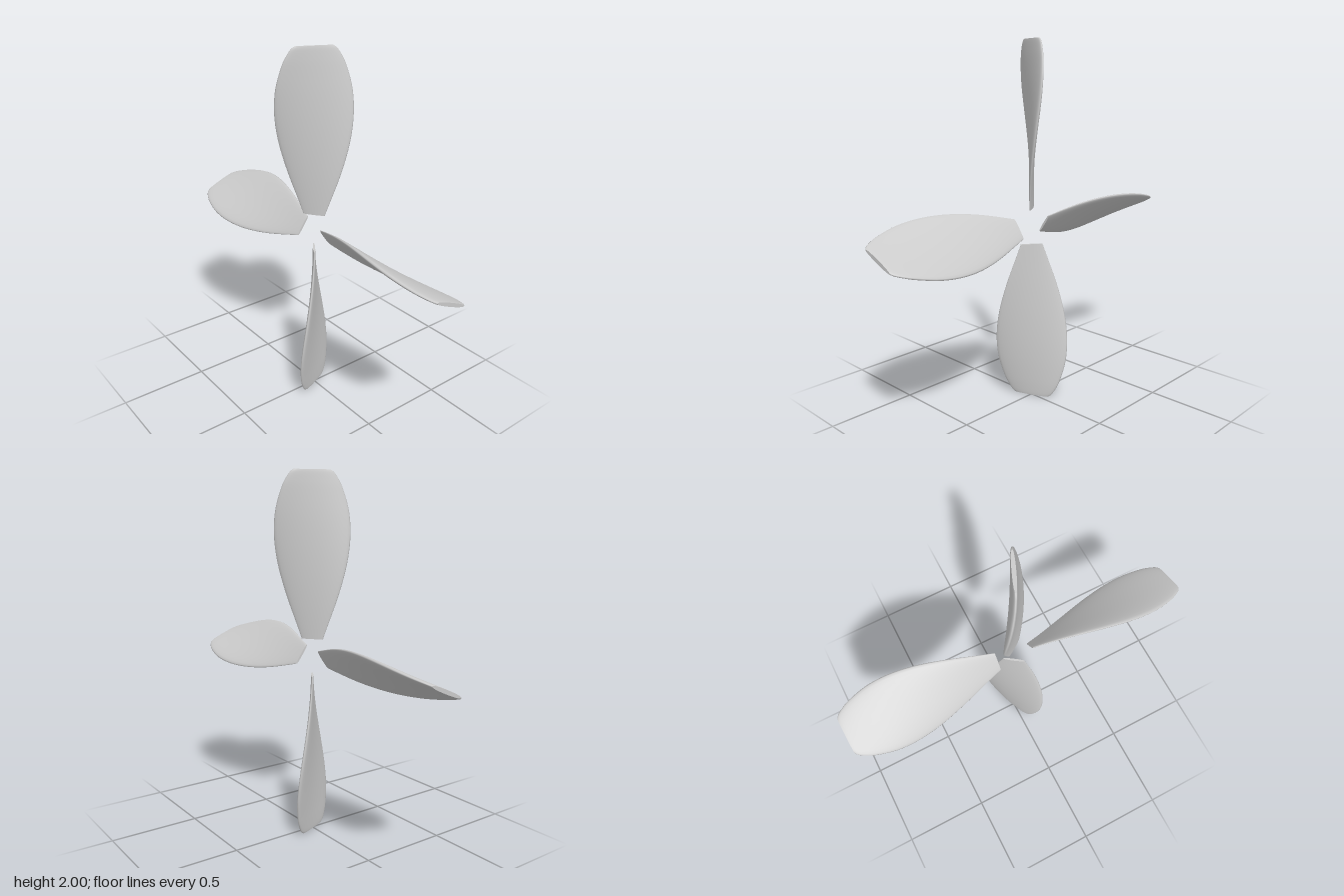
import * as THREE from 'three';

const ROOT = 0.1, TIP = 1;

// Half chord along the blade: (radius, half width)
const outline = new THREE.SplineCurve([
  [0.1, 0.061], [0.2, 0.096], [0.3, 0.131], [0.4, 0.161], [0.5, 0.185], [0.6, 0.2],
  [0.7, 0.204], [0.8, 0.194], [0.9, 0.166], [0.95, 0.143], [0.985, 0.12], [1, 0.1],
].map(([r, w]) => new THREE.Vector2(r, w)));

// Rounded, flattened section swept outwards along +y while its pitch unwinds
function bladeGeometry(rings = 33, sides = 28) {
  const positions = [], index = [];
  const addRing = (i) => {
    const { x: r, y: halfChord } = outline.getPoint(i / rings);
    const pitch = THREE.MathUtils.degToRad(55 - 32 * (r - ROOT) / (TIP - ROOT));
    const halfThick = 0.1 * halfChord;
    for (let j = 0; j < sides; j++) {
      const a = (j / sides) * Math.PI * 2;
      const round = (v, e) => Math.sign(v) * Math.abs(v) ** e;
      const c = halfChord * round(Math.cos(a), 0.9);
      const t = halfThick * round(Math.sin(a), 0.8);
      positions.push(
        c * Math.cos(pitch) - t * Math.sin(pitch), r,
        c * Math.sin(pitch) + t * Math.cos(pitch));
    }
  };

  // Blade skin
  for (let i = 0; i <= rings; i++) addRing(i);
  for (let i = 0; i < rings; i++) {
    for (let j = 0; j < sides; j++) {
      const a = i * sides + j, b = i * sides + (j + 1) % sides;
      index.push(a, a + sides, b, b, a + sides, b + sides);
    }
  }

  // Flat caps at root and tip, with their own vertices for a sharp edge
  for (const [i, up] of [[0, false], [rings, true]]) {
    const start = positions.length / 3;
    addRing(i);
    for (let j = 1; j < sides - 1; j++) {
      if (up) index.push(start, start + j + 1, start + j);
      else index.push(start, start + j, start + j + 1);
    }
  }

  const geometry = new THREE.BufferGeometry();
  geometry.setAttribute('position', new THREE.Float32BufferAttribute(positions, 3));
  geometry.setIndex(index);
  geometry.computeVertexNormals();
  return geometry;
}

export function createModel() {
  const group = new THREE.Group();
  group.name = 'propeller';
  const material = new THREE.MeshStandardMaterial({ color: 0xcccccc });
  const geometry = bladeGeometry();

  // Four blades spaced evenly around the x axis
  ['top', 'front', 'bottom', 'back'].forEach((side, k) => {
    const blade = new THREE.Mesh(geometry, material);
    blade.name = side + 'Blade';
    blade.rotation.x = k * Math.PI / 2;
    blade.position.y = TIP;
    group.add(blade);
  });
  return group;
}
